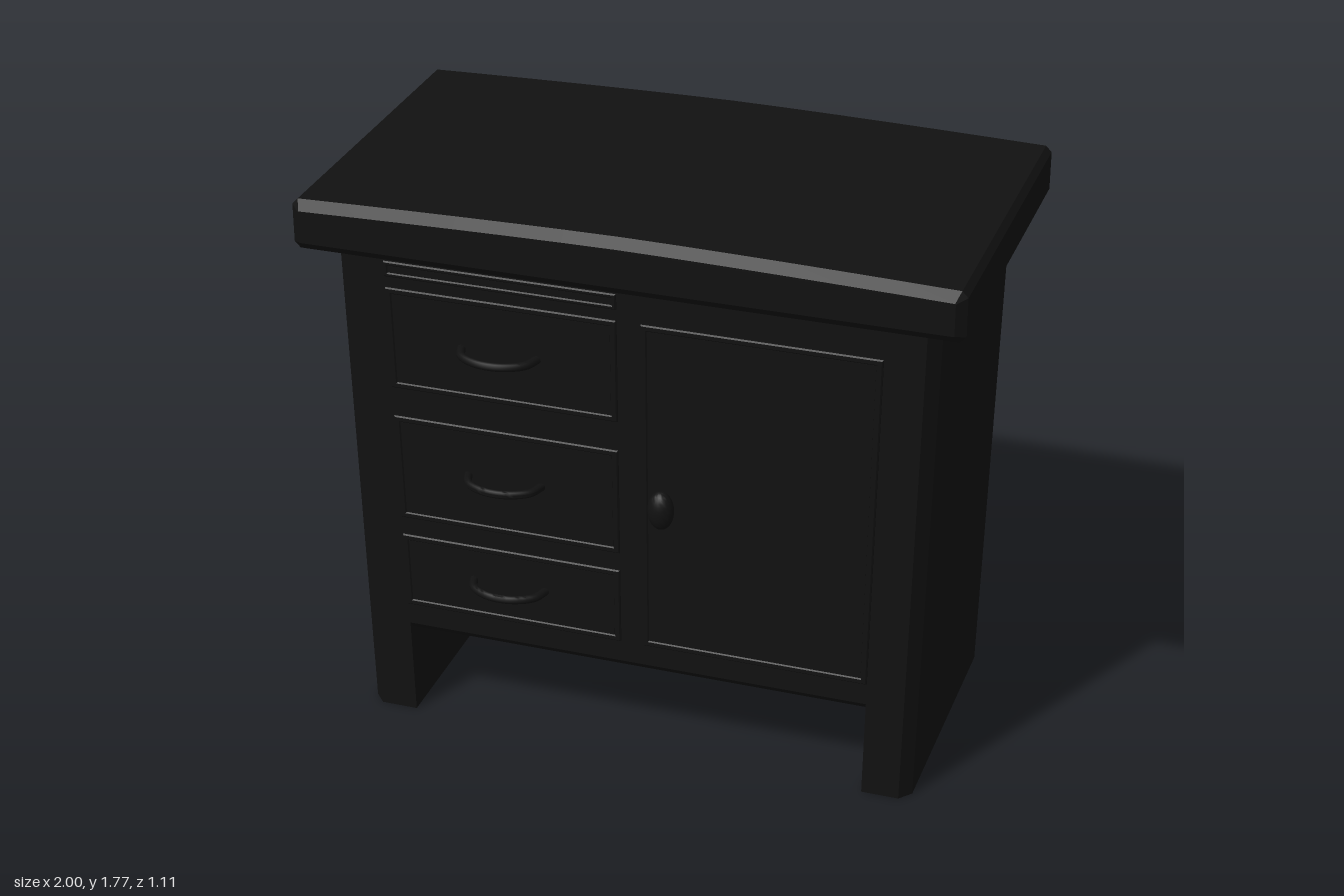
import * as THREE from 'three';
import { toCreasedNormals } from 'three/addons/utils/BufferGeometryUtils.js';

const TOP_Y = 1.6;

// The cabinet narrows slightly toward the floor
function taper(geo) {
  const p = geo.attributes.position;
  for (let i = 0; i < p.count; i++) {
    const t = p.getY(i) / TOP_Y;
    p.setX(i, p.getX(i) * (0.961 + 0.039 * t));
    p.setZ(i, p.getZ(i) * (0.967 + 0.033 * t));
  }
  return geo;
}

const polygon = (pts) => new THREE.Shape(pts.map(([x, y]) => new THREE.Vector2(x, y)));

export function createModel() {
  const group = new THREE.Group();
  const material = new THREE.MeshStandardMaterial({ color: 0x111111 });

  const add = (name, geo, crease = 0.5) => {
    const flat = geo.index ? geo.toNonIndexed() : geo;
    const mesh = new THREE.Mesh(toCreasedNormals(flat, crease), material);
    mesh.name = name;
    group.add(mesh);
    return mesh;
  };

  // Side slabs running down to the floor, outer corners chamfered
  const D = 0.455;
  for (const [name, s] of [['leftSide', 1], ['rightSide', -1]]) {
    const plan = polygon([
      [s * 0.755, -D], [s * 0.875, -D], [s * 0.91, -D + 0.04],
      [s * 0.91, D - 0.04], [s * 0.875, D], [s * 0.755, D],
    ]);
    const geo = new THREE.ExtrudeGeometry(plan, { depth: TOP_Y + 0.02, bevelEnabled: false });
    geo.rotateX(-Math.PI / 2);
    add(name, taper(geo), 0.3);
  }

  // Carcass between the sides, lower edges chamfered
  const section = polygon([
    [-D + 0.02, 0.295], [D - 0.02, 0.295], [D, 0.318],
    [D, TOP_Y + 0.02], [-D, TOP_Y + 0.02], [-D, 0.318],
  ]);
  const carcass = new THREE.ExtrudeGeometry(section, { depth: 1.51, bevelEnabled: false });
  carcass.translate(0, 0, -0.755);
  carcass.rotateY(Math.PI / 2);
  add('carcass', taper(carcass), 0.3);

  // Crowned top board with bevelled edges
  const W = 1, c = 0.018, bevel = 0.028, halfDepth = 0.557;
  const outline = [[-W, 1.6 + c], [-W + c, 1.6], [W - c, 1.6], [W, 1.6 + c], [W, 1.755 - c]];
  for (let i = 0; i <= 12; i++) {
    const x = (W - c) * (1 - i / 6);
    outline.push([x, 1.775 - 0.02 * Math.pow(Math.abs(x), 1.5)]);
  }
  outline.push([-W, 1.755 - c]);
  const top = new THREE.ExtrudeGeometry(polygon(outline), {
    depth: 2 * (halfDepth - bevel), bevelSize: bevel, bevelOffset: -bevel,
    bevelThickness: bevel, bevelSegments: 1,
  });
  top.translate(0, 0, -(halfDepth - bevel));
  add('topBoard', top, 0.3);

  // Raised front panels: a bevelled rim with a slightly sunken field
  const rect = (x0, x1, y0, y1) => [[x0, y0], [x1, y0], [x1, y1], [x0, y1]];
  const panel = (name, x0, x1, y0, y1, rim) => {
    const shape = polygon(rect(x0, x1, y0, y1));
    const hole = rect(x0 + rim, x1 - rim, y0 + rim, y1 - rim);
    shape.holes.push(new THREE.Path(hole.map(([x, y]) => new THREE.Vector2(x, y))));
    const frame = new THREE.ExtrudeGeometry(shape, {
      depth: 0.004, bevelSize: 0.004, bevelOffset: -0.004, bevelThickness: 0.004, bevelSegments: 1,
    });
    frame.translate(0, 0, D);
    add(name + 'Frame', taper(frame), 0.3);
    const field = new THREE.BoxGeometry(x1 - x0 - 2 * rim, y1 - y0 - 2 * rim, 0.01);
    field.translate((x0 + x1) / 2, (y0 + y1) / 2, D);
    add(name + 'Field', taper(field), 0.3);
  };
  panel('trimStrip', -0.757, -0.038, 1.51, 1.56, 0.014);
  panel('door', 0.035, 0.755, 0.39, 1.475, 0.02);

  // Drawers with bowed pulls
  const drawers = [
    ['upperDrawer', 1.145, 1.475, 1.31],
    ['middleDrawer', 0.70, 1.05, 0.885],
    ['lowerDrawer', 0.39, 0.64, 0.52],
  ];
  for (const [name, y0, y1, pullY] of drawers) {
    panel(name, -0.757, -0.038, y0, y1, 0.02);
    const arc = new THREE.CatmullRomCurve3(
      [[-0.12, 0], [-0.1, 0.05], [-0.05, 0.08], [0, 0.088], [0.05, 0.08], [0.1, 0.05], [0.12, 0]]
        .map(([x, z]) => new THREE.Vector3(-0.405 + x, pullY, D + z)));
    add(name + 'Pull', taper(new THREE.TubeGeometry(arc, 28, 0.013, 10)), 1);
  }

  // Oval door knob on a short stem
  const stem = new THREE.CylinderGeometry(0.018, 0.018, 0.07, 14);
  stem.rotateX(Math.PI / 2);
  stem.translate(0.112, 0.9, 0.475);
  add('doorKnobStem', stem, 0.8);
  const knob = new THREE.SphereGeometry(1, 24, 16);
  knob.scale(0.04, 0.062, 0.033);
  knob.translate(0.112, 0.905, 0.508);
  add('doorKnob', knob, 1);

  return group;
}
